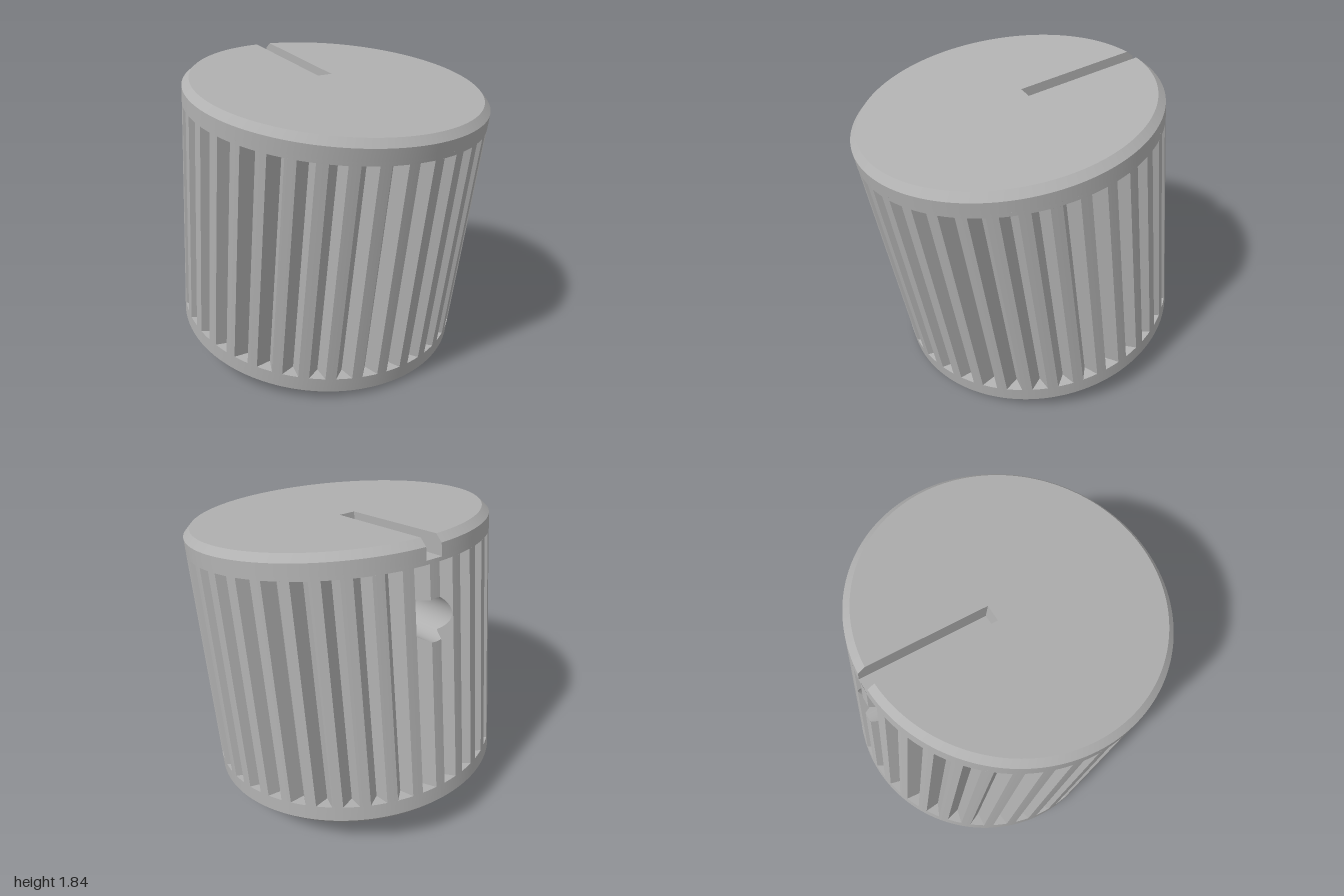
import * as THREE from 'three';
import { mergeGeometries } from 'three/addons/utils/BufferGeometryUtils.js';

const R = 0.9, CAP_R = 0.86, H = 0.808, SHOULDER = 0.768; // body and chamfers
const GROOVE_END = 0.675, GROOVE_DEPTH = 0.08;            // knurling
const BORE_R = 0.33, BORE_TOP = 0.55;                     // shaft hole
const HOLE_R = 0.122, HOLE_Y = 0.365;                     // set screw hole
const SLOT_W = 0.05, SLOT_FLOOR = 0.697, SLOT_START = -0.131;

const rad = THREE.MathUtils.degToRad;
const polar = (r, deg, y = 0) => new THREE.Vector3(r * Math.sin(rad(deg)), y, r * Math.cos(rad(deg)));
const range = (n, f) => Array.from({ length: n + 1 }, (_, i) => f(i / n));
const atY = (p, y) => new THREE.Vector3(p.x, y, p.z);

// Ribbon of quads between two rows of points
function strip(low, high) {
  const g = new THREE.BufferGeometry().setFromPoints([...low, ...high]);
  const n = low.length, index = [];
  for (let i = 0; i < n - 1; i++) index.push(i, i + 1, n + i + 1, i, n + i + 1, n + i);
  g.setIndex(index);
  g.computeVertexNormals();
  return g;
}

// Upright wall over a plan line, pierced by the set screw hole at the back
function wall(line, y0, y1) {
  const row = (f) => line.map((p) => atY(p, f(p)));
  const half = (p) => Math.sqrt(Math.max(0, HOLE_R ** 2 - p.x ** 2));
  const pierced = line.some((p) => p.z < 0 && Math.abs(p.x) < HOLE_R);
  if (!pierced) return [strip(row(() => y0), row(() => y1))];
  return [
    strip(row(() => y0), row((p) => HOLE_Y - half(p))),
    strip(row((p) => HOLE_Y + half(p)), row(() => y1)),
  ];
}

// Full ring, or one left open at the back for the pointer slot
function ring(r0, y0, r1, y1, slotted = false) {
  const row = (r, y) => {
    const end = 180 - (slotted ? THREE.MathUtils.radToDeg(Math.asin(SLOT_W / r)) : 0);
    return range(180, (t) => polar(r, end * (2 * t - 1), y));
  };
  return strip(row(r0, y0), row(r1, y1));
}

function knurling() {
  const parts = [];
  for (let k = 0; k < 36; k++) {
    const c = 5 + 10 * k;
    const a = polar(R, c - 3), v = polar(R - GROOVE_DEPTH, c), b = polar(R, c + 3);
    const lines = [
      range(10, (t) => a.clone().lerp(v, t)),
      range(10, (t) => v.clone().lerp(b, t)),
      range(4, (t) => polar(R, c + 3 + 4 * t)),
    ];
    for (const line of lines) parts.push(...wall(line, -GROOVE_END, GROOVE_END));
    // Triangular ends of the V groove
    const arc = (y) => range(3, (t) => polar(R, c - 3 + 6 * t, y));
    const apex = (y) => range(3, () => atY(v, y));
    parts.push(strip(arc(-GROOVE_END), apex(-GROOVE_END)));
    parts.push(strip(apex(GROOVE_END), arc(GROOVE_END)));
  }
  return mergeGeometries(parts);
}

function screwHole() {
  const e0 = polar(R, 2), v = polar(R - GROOVE_DEPTH, 5), e1 = polar(R, 8);
  const outerZ = (x) => {
    const ax = Math.abs(x);
    if (ax < e0.x) return -Math.sqrt(R * R - x * x);
    const [p, q] = ax < v.x ? [e0, v] : [v, e1];
    return -THREE.MathUtils.mapLinear(ax, p.x, q.x, p.z, q.z);
  };
  const row = (zAt) => range(96, (t) => {
    const x = HOLE_R * Math.cos(t * 2 * Math.PI);
    return new THREE.Vector3(x, HOLE_Y + HOLE_R * Math.sin(t * 2 * Math.PI), zAt(x));
  });
  return strip(row(outerZ), row((x) => -Math.sqrt(BORE_R ** 2 - x * x)));
}

function topFace() {
  const s = new THREE.Shape();
  const a = Math.acos(SLOT_W / CAP_R);
  s.moveTo(SLOT_W, -SLOT_START);
  s.lineTo(SLOT_W, CAP_R * Math.sin(a));
  s.absarc(0, 0, CAP_R, a, Math.PI - a, true);
  s.lineTo(-SLOT_W, -SLOT_START);
  return new THREE.ShapeGeometry(s, 180).rotateX(-Math.PI / 2).translate(0, H, 0);
}

function pointerSlot() {
  const edge = (r) => -Math.sqrt(r * r - SLOT_W ** 2);
  const P = (x, y, z) => new THREE.Vector3(x, y, z);
  const parts = [
    strip([P(-SLOT_W, SLOT_FLOOR, edge(R)), P(-SLOT_W, SLOT_FLOOR, SLOT_START)],
      [P(SLOT_W, SLOT_FLOOR, edge(R)), P(SLOT_W, SLOT_FLOOR, SLOT_START)]).toNonIndexed(),
    strip([P(SLOT_W, SLOT_FLOOR, SLOT_START), P(-SLOT_W, SLOT_FLOOR, SLOT_START)],
      [P(SLOT_W, H, SLOT_START), P(-SLOT_W, H, SLOT_START)]).toNonIndexed(),
  ];
  for (const x of [-SLOT_W, SLOT_W]) {
    const zs = [SLOT_START, edge(CAP_R), edge(R)];
    const low = zs.map((z) => P(x, SLOT_FLOOR, z));
    const high = zs.map((z, i) => P(x, i < 2 ? H : SHOULDER, z));
    parts.push((x < 0 ? strip(low, high) : strip(high, low)).toNonIndexed());
  }
  return mergeGeometries(parts);
}

export function createModel() {
  const grey = new THREE.MeshStandardMaterial({ color: 0xb0b0b0, side: THREE.DoubleSide });
  grey.name = 'plain grey';
  const knob = new THREE.Group();
  knob.name = 'knob';
  const add = (name, geometry) => {
    const mesh = new THREE.Mesh(geometry, grey);
    mesh.name = name;
    knob.add(mesh);
  };

  add('knurledWall', knurling());
  add('lowerBand', ring(R, -SHOULDER, R, -GROOVE_END));
  add('lowerChamfer', ring(CAP_R, -H, R, -SHOULDER));
  add('bottomFace', ring(BORE_R, -H, CAP_R, -H));
  add('upperBand', mergeGeometries([
    ring(R, GROOVE_END, R, SLOT_FLOOR),
    ring(R, SLOT_FLOOR, R, SHOULDER, true),
  ]));
  add('upperChamfer', ring(R, SHOULDER, CAP_R, H, true));
  add('topFace', topFace());
  add('pointerSlot', pointerSlot());

  // Shaft bore, open to the set screw hole
  const boreLine = range(180, (t) => polar(BORE_R, -360 * t));
  const boreWall = [];
  for (let i = 0; i < 180; i++) boreWall.push(...wall(boreLine.slice(i, i + 2), -H, BORE_TOP));
  add('shaftBore', mergeGeometries(boreWall));
  add('boreEnd', ring(0.001, BORE_TOP, BORE_R, BORE_TOP));
  add('setScrewHole', screwHole());

  // The whole knob leans towards the front
  knob.rotation.x = rad(8.2);
  knob.position.y = 0.922;
  const model = new THREE.Group();
  model.name = 'controlKnob';
  model.add(knob);
  return model;
}
